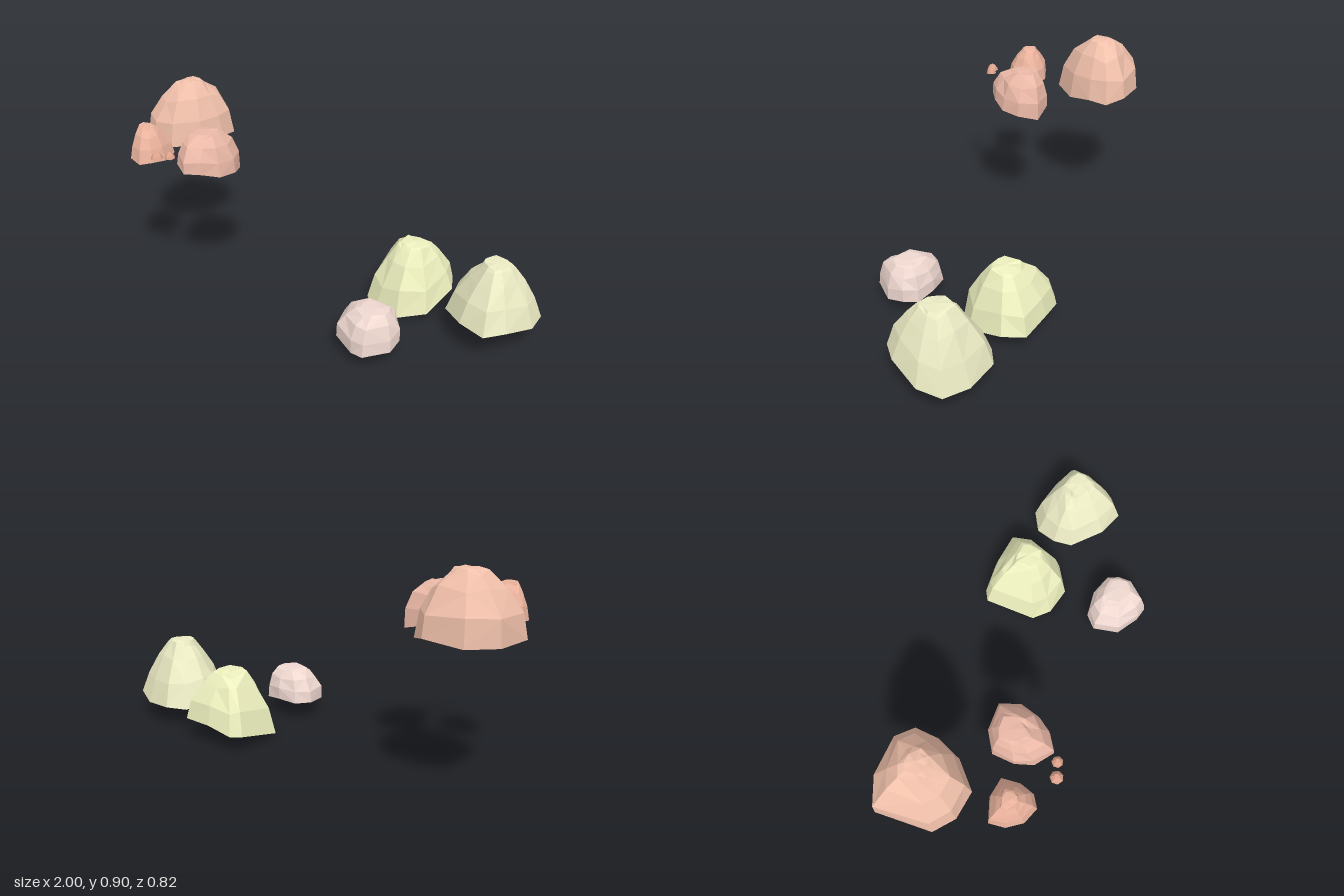
import * as THREE from 'three';

const RINGS = [0.38, 0.72, 0.93, 1];

function seededRandom(seed) {
  return () => (seed = (seed * 16807) % 2147483647) / 2147483647;
}

// A rock is a hollow shell that shrinks from its ground outline toward its peak.
// rim: outline corners x, z, clockwise from above; base, slope: ground height and its rise along x and z;
// peak: x, y, z; bulge: steepness of the sides; crown: relative width of the summit
function rock(name, color, { rim, base, slope = [0, 0], peak, bulge, crown }) {
  const rand = seededRandom(name.length * 7919);
  const summit = new THREE.Vector3(...peak);
  const sides = rim.length;

  // Ground outline with a slightly uneven edge
  const ground = rim.map(([x, z], i) => {
    const y = base + slope[0] * (x - summit.x) + slope[1] * (z - summit.z);
    return new THREE.Vector3(x, i % 2 ? y : y + 0.05 * (summit.y - base), z);
  });

  // Chipped rings between the ground and the summit
  const points = [...ground];
  for (const t of RINGS) {
    const width = crown + (1 - crown) * (1 - t ** bulge);
    for (const p of ground) {
      const s = width * (0.94 + 0.1 * rand());
      const h = t === 1 ? 1 - 0.04 * rand() : t + 0.1 * (rand() - 0.5);
      points.push(new THREE.Vector3().lerpVectors(summit, p, s).setY(THREE.MathUtils.lerp(p.y, summit.y, h)));
    }
  }
  const top = points.push(summit) - 1;

  // Side facets split along varying diagonals, closed at the summit
  const index = [];
  for (let i = 0; i < sides; i++) {
    const j = (i + 1) % sides;
    for (let r = 0; r < RINGS.length; r++) {
      const a = r * sides + i, b = r * sides + j;
      const c = a + sides, d = b + sides;
      if (rand() < 0.5) index.push(a, c, b, b, c, d);
      else index.push(a, c, d, a, d, b);
    }
    index.push(RINGS.length * sides + i, top, RINGS.length * sides + j);
  }

  const geometry = new THREE.BufferGeometry().setFromPoints(points);
  geometry.setIndex(index);
  geometry.computeVertexNormals();
  const material = new THREE.MeshStandardMaterial({ color, flatShading: true, side: THREE.DoubleSide });
  const mesh = new THREE.Mesh(geometry, material);
  mesh.name = name;
  return mesh;
}

// Tiny flat stone
function pebble(name, x, y, z, r) {
  const rim = [];
  for (let i = 0; i < 7; i++) {
    const a = (i / 7) * Math.PI * 2;
    rim.push([x + r * Math.cos(a), z + r * Math.sin(a)]);
  }
  return rock(name, 0xe0a58e, { rim, base: y, peak: [x, y + 0.028, z], bulge: 1.6, crown: 0.35 });
}

export function createModel() {
  const group = new THREE.Group();
  group.name = 'rocks';

  // Orange cluster, raised on the right
  group.add(
    rock('largeOrangeRock', 0xf0c0aa, {
      rim: [[-1, -0.36], [-0.88, -0.41], [-0.7, -0.39], [-0.63, -0.32], [-0.64, -0.23],
        [-0.69, -0.12], [-0.8, -0.025], [-0.92, -0.05], [-1, -0.12]],
      base: 0.625, slope: [0, -0.06], peak: [-0.8, 0.905, -0.23], bulge: 2.5, crown: 0.22,
    }),
    rock('smallOrangeRock', 0xecb49e, {
      rim: [[-0.9, 0.08], [-0.8, 0.05], [-0.715, 0.07], [-0.71, 0.15], [-0.735, 0.215],
        [-0.785, 0.245], [-0.855, 0.215], [-0.895, 0.15]],
      base: 0.645, peak: [-0.81, 0.8, 0.14], bulge: 1.9, crown: 0.32,
    }),
    rock('mediumOrangeRock', 0xeab8a6, {
      rim: [[-0.645, 0.1], [-0.63, 0], [-0.55, -0.045], [-0.43, -0.04], [-0.4, 0.05],
        [-0.425, 0.14], [-0.48, 0.2], [-0.55, 0.24], [-0.625, 0.18]],
      base: 0.62, slope: [-0.15, 0.13], peak: [-0.55, 0.79, 0.045], bulge: 3, crown: 0.4,
    }),
    pebble('rightPebble', -0.655, 0.718, 0.283, 0.028),
    pebble('leftPebble', -0.597, 0.725, 0.267, 0.024),
  );

  // Pale cluster, low on the left
  group.add(
    rock('greenRock', 0xedf0be, {
      rim: [[0.2, -0.35], [0.25, -0.375], [0.38, -0.37], [0.54, -0.34], [0.57, -0.24],
        [0.51, -0.07], [0.39, 0], [0.27, -0.04], [0.2, -0.11]],
      base: 0.046, slope: [0.11, -0.21], peak: [0.4, 0.325, -0.19], bulge: 1.7, crown: 0.3,
    }),
    rock('yellowRock', 0xebebc4, {
      rim: [[0.6, -0.13], [0.645, -0.23], [0.735, -0.275], [0.885, -0.24], [1, -0.175],
        [0.99, -0.06], [0.91, 0.08], [0.83, 0.143], [0.71, 0.09], [0.605, -0.04]],
      base: 0.108, slope: [0, 0.145], peak: [0.81, 0.385, -0.065], bulge: 1.5, crown: 0.28,
    }),
    rock('pinkRock', 0xefd8d0, {
      rim: [[0.22, 0.2], [0.28, 0.15], [0.38, 0.15], [0.47, 0.18], [0.5, 0.24],
        [0.49, 0.32], [0.4, 0.41], [0.34, 0.39], [0.24, 0.32]],
      base: 0.075, slope: [0, -0.06], peak: [0.405, 0.235, 0.26], bulge: 3.5, crown: 0.42,
    }),
  );
  return group;
}
